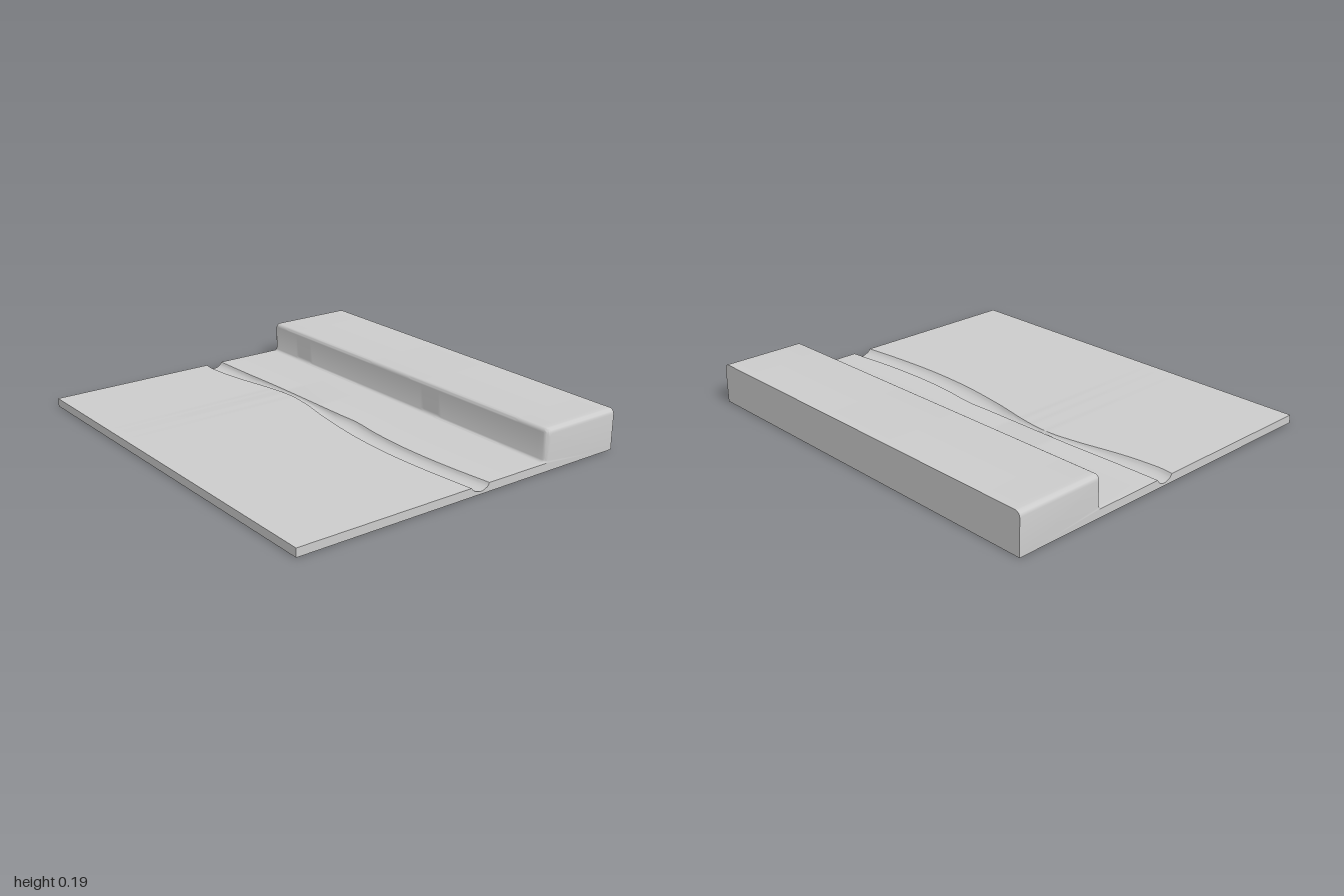
import * as THREE from 'three';
import { toCreasedNormals } from 'three/addons/utils/BufferGeometryUtils.js';

const FLOOR = 0.04, TOP = 0.195, DEPTH = 0.87;

// Smooth curve z(x) through a few [x, z] points
function bank(points) {
  return (x) => {
    let i = 0;
    while (i < points.length - 2 && x > points[i + 1][0]) i++;
    const slope = (k) => {
      const a = points[Math.max(k - 1, 0)], b = points[Math.min(k + 1, points.length - 1)];
      return (b[1] - a[1]) / (b[0] - a[0]);
    };
    const [x0, z0] = points[i], [x1, z1] = points[i + 1];
    const h = x1 - x0, t = (x - x0) / h, s = 1 - t;
    return z0 * (1 + 2 * t) * s * s + h * slope(i) * t * s * s
      + z1 * t * t * (3 - 2 * t) - h * slope(i + 1) * t * t * s;
  };
}
const frontBank = bank([[-1, 0.015], [-0.93, 0.02], [-0.75, 0], [-0.5, -0.052], [-0.35, -0.07],
  [-0.2, -0.057], [0, -0.02], [0.25, 0.012], [0.5, 0.022], [0.75, 0.01], [1, -0.015]]);
const backBank = bank([[-1, -0.075], [-0.8, -0.08], [-0.5, -0.092], [-0.2, -0.097], [0, -0.1],
  [0.13, -0.103], [0.3, -0.085], [0.5, -0.077], [0.75, -0.088], [1, -0.115]]);

// Streambed section: [fraction from front to back, fraction of depth]
const BED = [[0, 0], [0.06, 0.3], [0.15, 0.6], [0.3, 0.85], [0.45, 1], [0.6, 1],
  [0.75, 0.85], [0.88, 0.6], [0.96, 0.3], [1, 0]];

// Outline [z, y] of the ground at x: plain, streambed, step, raised terrace
function section(x) {
  const r = 0.025;
  const inset = Math.max(0, Math.abs(x) - (1 - r));
  const drop = r - Math.sqrt(Math.max(0, r * r - inset * inset));
  const wall = -0.438 - 0.01 * x - drop * 0.6;
  const top = TOP - drop;
  const zf = frontBank(x), zb = backBank(x);
  const depth = 0.027 * Math.min(1, (zf - zb) / 0.075);
  const ring = [[DEPTH, 0], [DEPTH, FLOOR]];
  for (const [t, d] of BED) ring.push([zf + (zb - zf) * t, FLOOR - depth * d]);
  // Fillet at the foot of the step, rounding at its top
  for (let k = 0; k <= 4; k++) {
    const a = (k / 4) * Math.PI / 2;
    ring.push([wall + 0.018 * (1 - Math.sin(a)), FLOOR + 0.018 * (1 - Math.cos(a))]);
  }
  for (let k = 0; k <= 5; k++) {
    const a = (k / 5) * Math.PI / 2;
    ring.push([wall - 0.02 * (1 - Math.cos(a)), top - 0.02 * (1 - Math.sin(a))]);
  }
  ring.push([-DEPTH, top], [-DEPTH, 0]);
  return ring;
}

function terrainGeometry() {
  // Stations along x, denser at the rounded ends
  const xs = [];
  const ends = [1, 0.9985, 0.995, 0.99, 0.983, 0.975];
  for (const e of ends) xs.push(-e);
  for (let i = 1; i < 80; i++) xs.push(-0.975 + 1.95 * i / 80);
  for (const e of [...ends].reverse()) xs.push(e);

  const rings = xs.map(section), n = rings[0].length;
  const position = [], index = [];
  rings.forEach((ring, i) => ring.forEach(([z, y]) => position.push(xs[i], y, z)));
  for (let i = 0; i < xs.length - 1; i++) {
    for (let j = 0; j < n; j++) {
      const a = i * n + j, b = i * n + (j + 1) % n, d = a + n, c = b + n;
      index.push(a, d, b, b, d, c);
    }
  }
  // End caps, wound to face outward
  for (const [i, outward] of [[0, 1], [xs.length - 1, -1]]) {
    const pts = rings[i].map(([z, y]) => new THREE.Vector2(z, y));
    for (const [a, b, c] of THREE.ShapeUtils.triangulateShape(pts, [])) {
      const area = THREE.ShapeUtils.area([pts[a], pts[b], pts[c]]);
      const tri = area * outward > 0 ? [a, b, c] : [a, c, b];
      index.push(...tri.map((k) => k + i * n));
    }
  }
  const geometry = new THREE.BufferGeometry();
  geometry.setAttribute('position', new THREE.Float32BufferAttribute(position, 3));
  geometry.setIndex(index);
  return toCreasedNormals(geometry, Math.PI / 5);
}

export function createModel() {
  const group = new THREE.Group();
  group.name = 'terrainTile';
  const ground = new THREE.Mesh(terrainGeometry(), new THREE.MeshStandardMaterial({ color: 0xcccccc }));
  ground.name = 'groundWithStreamAndTerrace';
  group.add(ground);
  return group;
}
